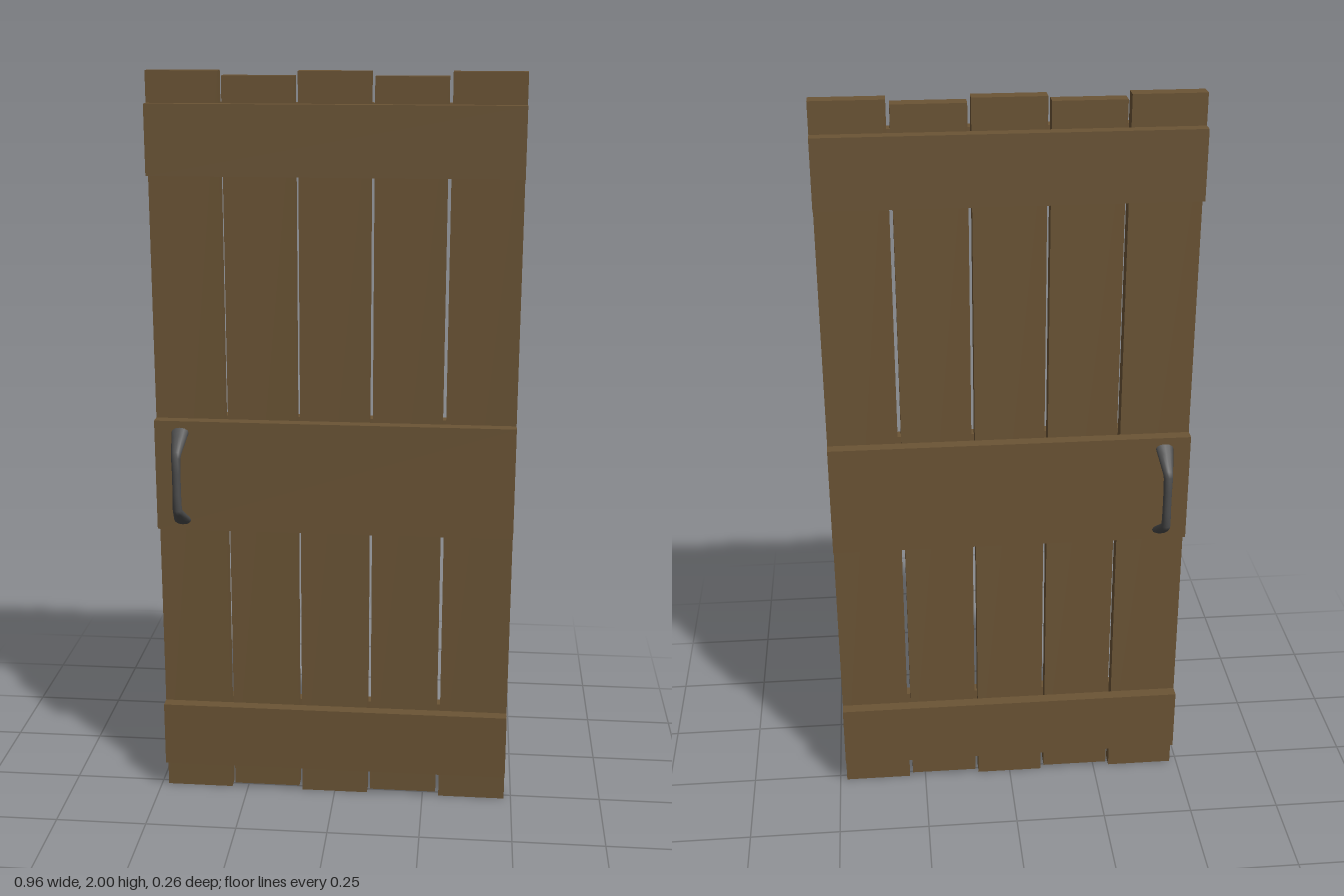
import * as THREE from 'three';

const wood = new THREE.MeshStandardMaterial({ color: 0x6b5435 });
const iron = new THREE.MeshStandardMaterial({ color: 0x4c4c4c });

// Box given by its centre x and z, size, and bottom/top heights
function board(name, x, z, width, depth, y0, y1) {
  const mesh = new THREE.Mesh(new THREE.BoxGeometry(width, y1 - y0, depth), wood);
  mesh.position.set(x, (y0 + y1) / 2, z);
  mesh.name = name;
  return mesh;
}

// Bent bar with elliptical rings, flared towards both feet
function handleGeometry() {
  // z, y, half width of the upper half; the lower half is mirrored
  const upper = [
    [0.045, 0.127, 0.0245],
    [0.07, 0.11, 0.0205],
    [0.113, 0.08, 0.0135],
    [0.1205, 0.07, 0.0125],
    [0.1205, 0.03, 0.0115],
  ];
  const path = [...upper, ...upper.map(([z, y, w]) => [z, -y, w]).reverse()];
  const sides = 12, thickness = 0.0115;
  const positions = [], index = [];
  const direction = (a, b) => new THREE.Vector2(b[0] - a[0], b[1] - a[1]).normalize();

  path.forEach((p, i) => {
    const before = direction(path[Math.max(i - 1, 0)], path[Math.max(i, 1)]);
    const last = path.length - 1;
    const after = direction(path[Math.min(i, last - 1)], path[Math.min(i + 1, last)]);
    const t = before.clone().add(after).normalize();
    const h = thickness / t.dot(after);
    for (let j = 0; j < sides; j++) {
      const a = (j / sides) * Math.PI * 2;
      const s = Math.sin(a) * h;
      positions.push(Math.cos(a) * p[2], p[1] + s * t.x, p[0] - s * t.y);
      if (i < last) {
        const k = (j + 1) % sides, r = i * sides, n = r + sides;
        index.push(r + j, r + k, n + j, r + k, n + k, n + j);
      }
    }
  });

  const geometry = new THREE.BufferGeometry();
  geometry.setAttribute('position', new THREE.Float32BufferAttribute(positions, 3));
  geometry.setIndex(index);
  geometry.computeVertexNormals();
  return geometry;
}

export function createModel() {
  const door = new THREE.Group();
  door.name = 'plankDoor';

  // Five upright planks, every second one slightly shorter
  for (let i = 0; i < 5; i++) {
    const inset = i % 2 ? 0.012 : 0;
    door.add(board('plank' + (i + 1), (i - 2) * 0.194, 0, 0.185, 0.04, inset, 2 - inset));
  }

  // Cross battens and a handle on each face
  const battens = [['bottomBatten', 0.083, 0.265], ['middleBatten', 0.79, 1.095], ['topBatten', 1.74, 1.92]];
  const grip = handleGeometry();
  for (const [face, side] of [['front', 1], ['back', -1]]) {
    for (const [name, y0, y1] of battens) {
      door.add(board(face + name[0].toUpperCase() + name.slice(1), 0, side * 0.036, 0.961, 0.032, y0, y1));
    }
    const handle = new THREE.Mesh(grip, iron);
    handle.name = face + 'Handle';
    handle.position.set(-0.411, 0.941, 0);
    handle.rotation.y = side > 0 ? 0 : Math.PI;
    door.add(handle);
  }
  return door;
}
